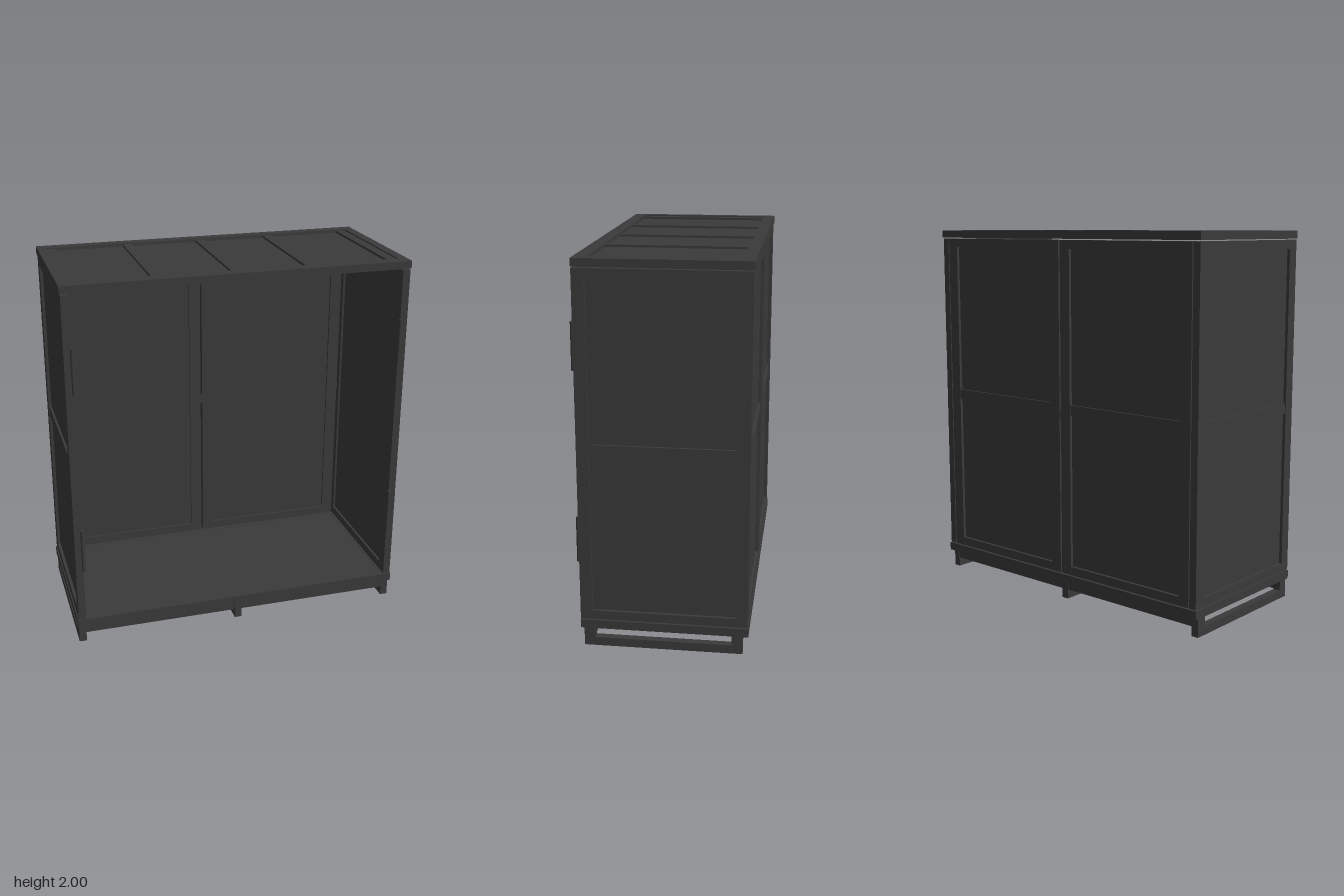
import * as THREE from 'three';

const mat = new THREE.MeshStandardMaterial({ color: 0x3a3a3a });

// Box given by its min and max on each axis
function box(parent, name, [x0, x1], [y0, y1], [z0, z1]) {
  const mesh = new THREE.Mesh(new THREE.BoxGeometry(x1 - x0, y1 - y0, z1 - z0), mat);
  mesh.position.set((x0 + x1) / 2, (y0 + y1) / 2, (z0 + z1) / 2);
  mesh.name = name;
  parent.add(mesh);
  return mesh;
}

// Rectangular frame with an opening, in the XY plane, thickness from z = 0 to t
function frame(parent, name, w, h, hole, t) {
  const s = new THREE.Shape();
  s.moveTo(-w / 2, -h / 2).lineTo(w / 2, -h / 2).lineTo(w / 2, h / 2).lineTo(-w / 2, h / 2).closePath();
  const [x0, x1, y0, y1] = hole;
  const p = new THREE.Path();
  p.moveTo(x0, y0).lineTo(x0, y1).lineTo(x1, y1).lineTo(x1, y0).closePath();
  s.holes.push(p);
  const mesh = new THREE.Mesh(new THREE.ExtrudeGeometry(s, { depth: t, bevelEnabled: false }), mat);
  mesh.name = name;
  parent.add(mesh);
  return mesh;
}

// Wall: frame, recessed sheet and middle rail; its outer face looks along +z
function wall(name, w, h, border) {
  const g = new THREE.Group();
  g.name = name;
  const t = 0.04, iw = w / 2 - border, ih = h / 2 - 0.047;
  frame(g, 'wallFrame', w, h, [-iw, iw, -ih, ih], t);
  box(g, 'wallSheet', [-iw, iw], [-ih, ih], [0.012, 0.024]);
  box(g, 'middleRail', [-iw, iw], [-0.02, 0.035], [0.012, 0.036]);
  return g;
}

export function createModel() {
  const model = new THREE.Group();
  model.name = 'cabinet';
  const yMid = 1.0515, wallH = 1.803;

  // Side walls and door hinges
  for (const s of [1, -1]) {
    const side = wall(s > 0 ? 'leftWall' : 'rightWall', 0.855, wallH, 0.062);
    side.rotation.y = s * Math.PI / 2;
    side.position.set(s * 0.87, yMid, -0.0075);
    model.add(side);
    for (const y of [0.57, 1.57]) {
      const hinge = new THREE.Mesh(new THREE.CylinderGeometry(0.01, 0.01, 0.24, 12), mat);
      hinge.name = 'hinge';
      hinge.position.set(s * 0.868, y, 0.43);
      model.add(hinge);
    }
    // Spacer between side and back wall
    box(model, 'spacer', [s * 0.868 - 0.007, s * 0.868 + 0.007], [1.0, 1.05], [-0.43, -0.4]);
  }

  // Two back walls with a narrow gap between
  for (const s of [1, -1]) {
    const back = wall('backWall', 0.859, wallH, 0.065);
    back.rotation.y = Math.PI;
    back.position.set(s * 0.4345, yMid, -0.395);
    model.add(back);
  }
  box(model, 'spacer', [-0.007, 0.007], [1.0, 1.05], [-0.43, -0.4]);

  // Roof: frame, sheet and cross bars
  const roof = new THREE.Group();
  roof.name = 'roof';
  const roofFrame = frame(roof, 'roofFrame', 1.83, 0.86, [-0.87, 0.865, -0.365, 0.37], 0.041);
  roofFrame.rotation.x = -Math.PI / 2;
  roofFrame.position.set(0, 1.959, -0.01);
  box(roof, 'roofSheet', [-0.872, 0.867], [1.968, 1.982], [-0.382, 0.357]);
  for (const x of [-0.845, -0.42, -0.008, 0.388, 0.838])
    box(roof, 'crossBar', [x - 0.026, x + 0.026], [1.965, 1.994], [-0.38, 0.355]);
  model.add(roof);

  // Floor: frame and sheet
  const floor = new THREE.Group();
  floor.name = 'floor';
  const floorFrame = frame(floor, 'floorFrame', 1.83, 0.86, [-0.86, 0.86, -0.37, 0.37], 0.045);
  floorFrame.rotation.x = -Math.PI / 2;
  floorFrame.position.set(0, 0.1, -0.01);
  box(floor, 'floorSheet', [-0.862, 0.862], [0.122, 0.143], [-0.382, 0.362]);
  // Corner plates under the floor
  for (const x of [-0.7, 0.7]) for (const z of [-0.27, 0.25])
    box(floor, 'cornerPlate', [x - 0.12, x + 0.12], [0.116, 0.123], [z - 0.09, z + 0.09]);
  model.add(floor);

  // Base: three skids on short posts, joined by front and back rails
  const base = new THREE.Group();
  base.name = 'base';
  for (const x of [-0.89, -0.005, 0.888]) {
    const wx = [x - 0.02, x + 0.02];
    box(base, 'skid', wx, [0, 0.045], [-0.412, 0.403]);
    for (const z of [-0.384, 0.375])
      box(base, 'post', wx, [0.045, 0.1], [z - 0.028, z + 0.028]);
  }
  for (const z of [-0.383, 0.374])
    box(base, 'baseRail', [-0.88, 0.88], [0.05, 0.1], [z - 0.025, z + 0.025]);
  model.add(base);

  return model;
}
